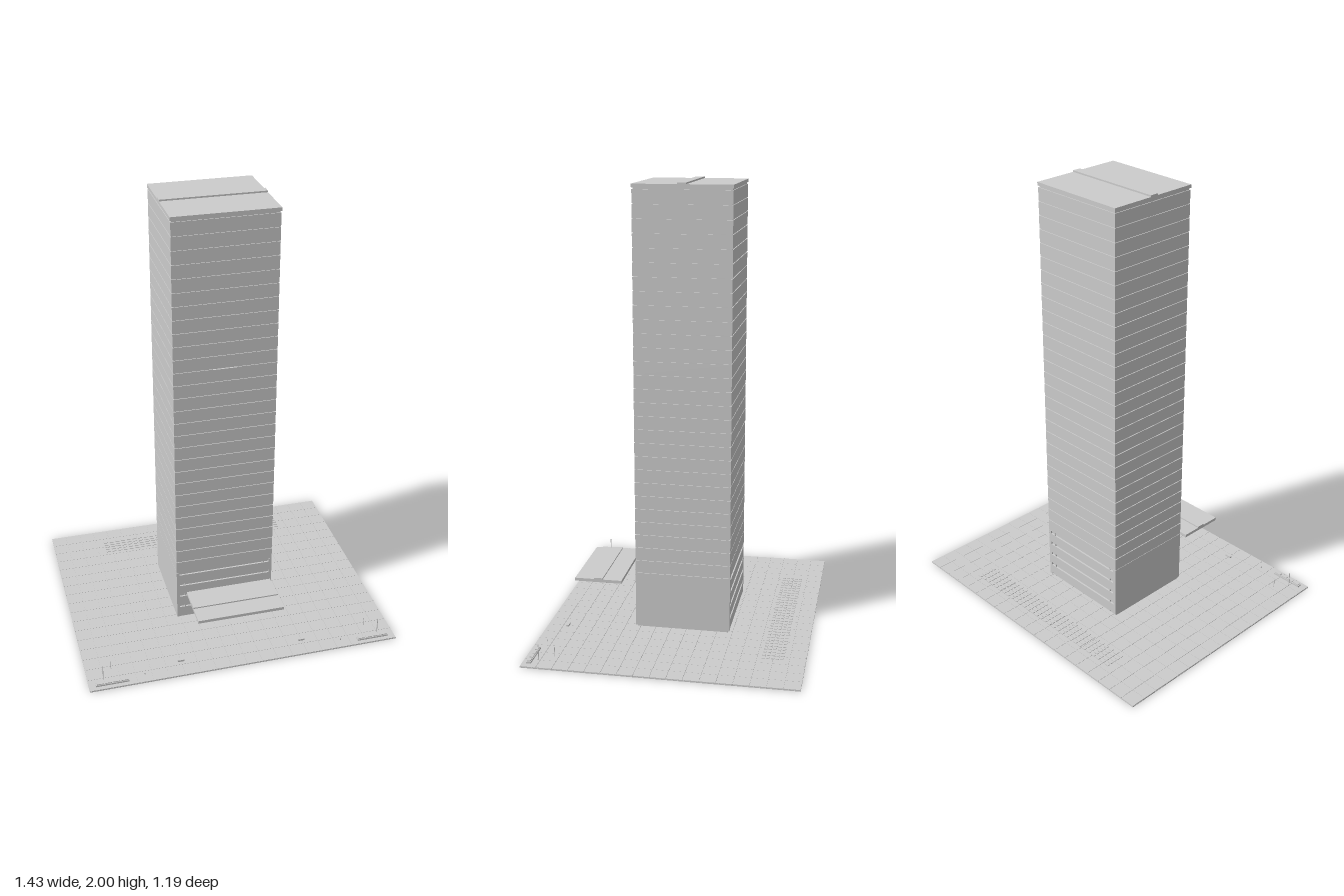
import * as THREE from 'three';

const concrete = new THREE.MeshStandardMaterial({ color: 0xcccccc });
concrete.name = 'light grey concrete';

// Box given by its minimum and maximum corners
function box(parent, name, x0, x1, y0, y1, z0, z1) {
  const mesh = new THREE.Mesh(new THREE.BoxGeometry(x1 - x0, y1 - y0, z1 - z0), concrete);
  mesh.position.set((x0 + x1) / 2, (y0 + y1) / 2, (z0 + z1) / 2);
  mesh.name = name;
  parent.add(mesh);
}

function group(parent, name) {
  const g = new THREE.Group();
  g.name = name;
  parent.add(g);
  return g;
}

function createPlaza(parent) {
  const plaza = group(parent, 'plaza');
  box(plaza, 'plazaSlab', -0.715, 0.715, 0, 0.004, -0.595, 0.595);
  // Paving stones with narrow joints
  const nx = 20, nz = 17, px = 1.43 / nx, pz = 1.19 / nz, gap = 0.0012;
  const tiles = new THREE.InstancedMesh(
    new THREE.BoxGeometry(px - gap, 0.003, pz - gap), concrete, 1);
  for (let i = 0; i < nx; i++) {
    for (let j = 0; j < nz; j++) {
      const tile = new THREE.Mesh(tiles.geometry, concrete);
      tile.position.set(-0.715 + (i + 0.5) * px, 0.0052, -0.595 + (j + 0.5) * pz);
      tile.name = 'pavingStone';
      plaza.add(tile);
    }
  }
  // Rows of small markers behind the tower
  const stand = new THREE.BoxGeometry(0.02, 0.003, 0.014);
  for (let i = 0; i < 31; i++) {
    for (let j = 0; j < 5; j++) {
      const mesh = new THREE.Mesh(stand, concrete);
      mesh.position.set(-0.45 + i * 0.03, 0.0082, -0.492 + j * 0.02);
      mesh.name = 'rearStand';
      plaza.add(mesh);
    }
  }
  // Mirrored planters, benches and poles along the front
  for (const s of [-1, 1]) {
    const at = (name, x, w, y0, y1, z, d) =>
      box(plaza, name, s * x - w / 2, s * x + w / 2, y0, y1, z - d / 2, z + d / 2);
    at('planter', 0.61, 0.15, 0.006, 0.014, 0.565, 0.02);
    for (let i = 0; i < 4; i++) at('planterBed', 0.555 + i * 0.0365, 0.03, 0.014, 0.018, 0.565, 0.014);
    at('bench', 0.285, 0.03, 0.006, 0.015, 0.502, 0.009);
    at('tallPole', 0.645, 0.003, 0.006, 0.08, 0.532, 0.003);
    at('shortPole', 0.6, 0.002, 0.006, 0.05, 0.474, 0.002);
    at('bollard', 0.46, 0.004, 0.006, 0.016, 0.548, 0.004);
  }
}

function createTower(parent) {
  const tower = group(parent, 'tower');
  const X = 0.23, Z0 = -0.232, Z1 = 0.198;
  const pitch = 0.061, first = 0.264, joint = 0.0035;

  // Base storeys: recessed glazing behind deep slab edges
  box(tower, 'baseCore', -X + 0.001, X - 0.001, 0.006, first, Z0 + 0.008, Z1 - 0.008);
  for (let k = 0; k < 4; k++) {
    const y = 0.02 + k * pitch;
    box(tower, 'baseBand', -X, X, y, y + 0.046, Z0, Z1);
  }
  for (const s of [-1, 1]) {
    box(tower, 'baseCorner', s * 0.223 - 0.007, s * 0.223 + 0.007, 0.012, first, Z0, Z1);
    box(tower, 'basePost', s * 0.19 - 0.002, s * 0.19 + 0.002, 0.012, first, Z0 + 0.001, Z1 - 0.001);
  }

  // Upper storeys separated by narrow shadow joints
  box(tower, 'upperCore', -X + 0.004, X - 0.004, first - 0.01, 1.98, Z0 + 0.004, Z1 - 0.004);
  for (let k = 0; k < 28; k++) {
    const y = first + k * pitch;
    box(tower, 'storeyPanel', -X, X, y + joint / 2, y + pitch - joint / 2, Z0, Z1);
  }

  // Roof slab with a raised strip across the middle
  box(tower, 'roofJoint', -X + 0.004, X - 0.004, 1.968, 1.985, Z0 + 0.004, Z1 - 0.004);
  box(tower, 'roofSlab', -X - 0.002, X + 0.002, 1.978, 1.993, Z0 - 0.002, Z1 + 0.002);
  box(tower, 'roofStrip', -X - 0.002, X + 0.002, 1.993, 2, -0.035, 0.003);

  // Facade plate
  box(tower, 'facadePlate', -0.058, 0.053, 1.272, 1.303, 0.205, 0.209);
}

function createCanopy(parent) {
  const canopy = group(parent, 'canopy');
  box(canopy, 'canopySlab', -0.2, 0.2, 0.192, 0.206, 0.272, 0.49);
  box(canopy, 'canopyStrip', -0.2, 0.2, 0.206, 0.212, 0.36, 0.4);
}

export function createModel() {
  const model = new THREE.Group();
  model.name = 'officeTower';
  createPlaza(model);
  createTower(model);
  createCanopy(model);
  return model;
}
